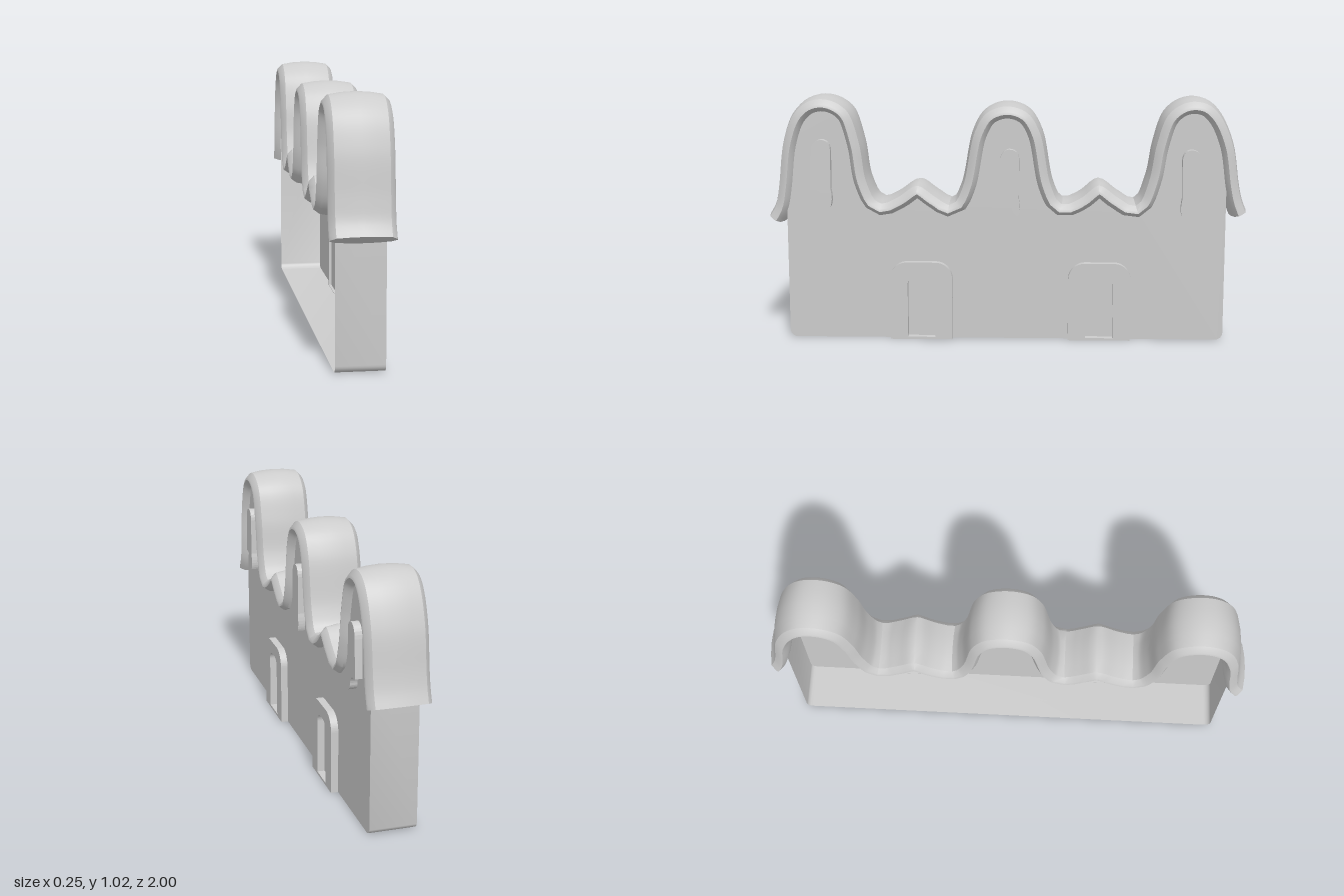
import * as THREE from 'three';
import { toCreasedNormals } from 'three/addons/utils/BufferGeometryUtils.js';

const BACK = -0.1, FACE = 0.09;
// Side profiles are drawn in (s, y), where s = -z.

// Outer crest of the wavy roof
const CREST = [
  [-1, .525], [-.975, .57], [-.96, .65], [-.937, .83], [-.893, .95], [-.835, 1.005], [-.77, 1.022],
  [-.705, 1.008], [-.647, .962], [-.602, .83], [-.575, .67], [-.53, .588], [-.465, .61], [-.374, .663],
  [-.294, .615], [-.235, .583], [-.195, .65], [-.144, .88], [-.09, .965], [0, .995],
  [.09, .965], [.144, .88], [.19, .66], [.23, .588], [.295, .61], [.38, .668], [.465, .615], [.53, .583],
  [.575, .68], [.604, .83], [.647, .952], [.705, 1.002], [.767, 1.017], [.83, 1.002], [.885, .948],
  [.936, .83], [.963, .66], [.976, .6], [.995, .55],
];

// Crest samples with the unit normal pointing into the wall
function crestSamples(n) {
  const curve = new THREE.CatmullRomCurve3(CREST.map(([s, y]) => new THREE.Vector3(s, y, 0)));
  curve.arcLengthDivisions = 800;
  const out = [];
  for (let i = 0; i <= n; i++) {
    const p = curve.getPointAt(i / n), t = curve.getTangentAt(i / n);
    out.push({ s: p.x, y: p.y, ns: t.y, ny: -t.x });
  }
  return out;
}

// Skin a grid of rows of [x, y, z] points, optionally closing each row and capping both ends
function skin(rows, closed, crease) {
  const pos = rows.flat(2), idx = [], m = rows[0].length;
  const cols = closed ? m : m - 1;
  for (let i = 0; i < rows.length - 1; i++) {
    for (let j = 0; j < cols; j++) {
      const k = (j + 1) % m, a = i * m + j, b = i * m + k, c = a + m, d = b + m;
      idx.push(a, c, b, b, c, d);
    }
  }
  if (closed) {
    const e = (rows.length - 1) * m;
    for (let j = 1; j < m - 1; j++) idx.push(0, j, j + 1, e, e + j + 1, e + j);
  }
  const g = new THREE.BufferGeometry();
  g.setAttribute('position', new THREE.Float32BufferAttribute(pos, 3));
  g.setIndex(idx);
  return toCreasedNormals(g, crease);
}

// Turn an (s, y) geometry so its depth runs along +x
const turn = (g, x) => g.rotateY(Math.PI / 2).translate(x, 0, 0);

// Outline of a door with rounded top corners
function arch(T, s0, s1, y0, y1, r) {
  const p = new T();
  p.moveTo(s0, y0);
  p.lineTo(s1, y0);
  p.lineTo(s1, y1 - r);
  p.absarc(s1 - r, y1 - r, r, 0, Math.PI / 2, false);
  p.absarc(s0 + r, y1 - r, r, Math.PI / 2, Math.PI, false);
  p.lineTo(s0, y0);
  return p;
}

export function createModel() {
  const group = new THREE.Group();
  const material = new THREE.MeshStandardMaterial({ color: 0xcccccc, side: THREE.DoubleSide });
  material.name = 'light grey';
  const add = (name, g) => {
    const mesh = new THREE.Mesh(g, material);
    mesh.name = name;
    group.add(mesh);
    return mesh;
  };
  const crest = crestSamples(180);

  // Roof: lens-shaped section swept along the crest, [x, depth below crest]
  const section = [
    [-.128, .043], [-.125, .032], [-.105, .011], [-.055, .003], [-.003, 0], [.05, .003], [.099, .011], [.119, .032],
    [.122, .043], [.1, .06], [.05, .07], [-.003, .073], [-.055, .07], [-.105, .06],
  ];
  add('wavyRoof', skin(crest.map(c =>
    section.map(([x, d]) => [x, c.y + c.ny * d, -(c.s + c.ns * d)])), true, 0.6));

  // Wall face: flat sheet ending inside the roof
  const S0 = -.92, S1 = .905, R = .03;
  const top = crest.map(c => [c.s + c.ns * .04, c.y + c.ny * .04]).filter(([s]) => s > S0 && s < S1);
  const topL = top[0], topR = top[top.length - 1];
  const rim = [[S0, topL[1]]];
  for (let i = 0; i <= 6; i++) {
    const a = Math.PI + i * Math.PI / 12;
    rim.push([S0 + R + R * Math.cos(a), R + R * Math.sin(a)]);
  }
  for (let i = 0; i <= 6; i++) {
    const a = Math.PI * 1.5 + i * Math.PI / 12;
    rim.push([S1 - R + R * Math.cos(a), R + R * Math.sin(a)]);
  }
  rim.push([S1, topR[1]]);
  const outline = [...rim, ...top.slice().reverse()].map(([s, y]) => new THREE.Vector2(s, y));
  add('wallFace', turn(new THREE.ShapeGeometry(new THREE.Shape(outline)), FACE));

  // End walls and floor, open at the back
  add('wallSides', skin(rim.map(([s, y]) => [[FACE, y, -s], [BACK, y, -s]]), false, 0.5));

  // Doors: raised frames with a sunken panel, and a thin rib on the inside
  for (const c of [-.36, .385]) {
    const frame = arch(THREE.Shape, c - .13, c + .13, 0, .33, .07);
    frame.holes.push(arch(THREE.Path, c - .057, c + .057, .01, .275, .04));
    add('doorFrame', turn(new THREE.ExtrudeGeometry(frame,
      { depth: .03, bevelEnabled: false, curveSegments: 8 }), FACE));

    const rib = arch(THREE.Shape, c - .13, c + .13, 0, .33, .07);
    rib.holes.push(arch(THREE.Path, c - .12, c + .12, .002, .32, .06));
    add('doorInnerRib', turn(new THREE.ExtrudeGeometry(rib,
      { depth: .012, bevelEnabled: false, curveSegments: 8 }), FACE - .012));
  }

  // Windows: raised arches with a drip at one lower corner
  for (const [c, dy, flip] of [[-.772, 0, 1], [.008, -.037, 1], [.762, -.037, -1]]) {
    const w = new THREE.Shape();
    w.moveTo(-.046, .636);
    w.lineTo(-.012, .632);
    w.quadraticCurveTo(.012, .62, .014, .59);
    w.quadraticCurveTo(.02, .57, .038, .565);
    w.quadraticCurveTo(.05, .59, .04, .64);
    w.lineTo(.042, .8);
    w.quadraticCurveTo(.04, .845, 0, .845);
    w.quadraticCurveTo(-.036, .84, -.04, .79);
    w.lineTo(-.046, .636);
    const pts = w.getPoints(6).map(p => new THREE.Vector2(c + flip * p.x, p.y + dy));
    add('window', turn(new THREE.ExtrudeGeometry(new THREE.Shape(pts),
      { depth: .03, bevelEnabled: false }), FACE));
  }
  return group;
}
